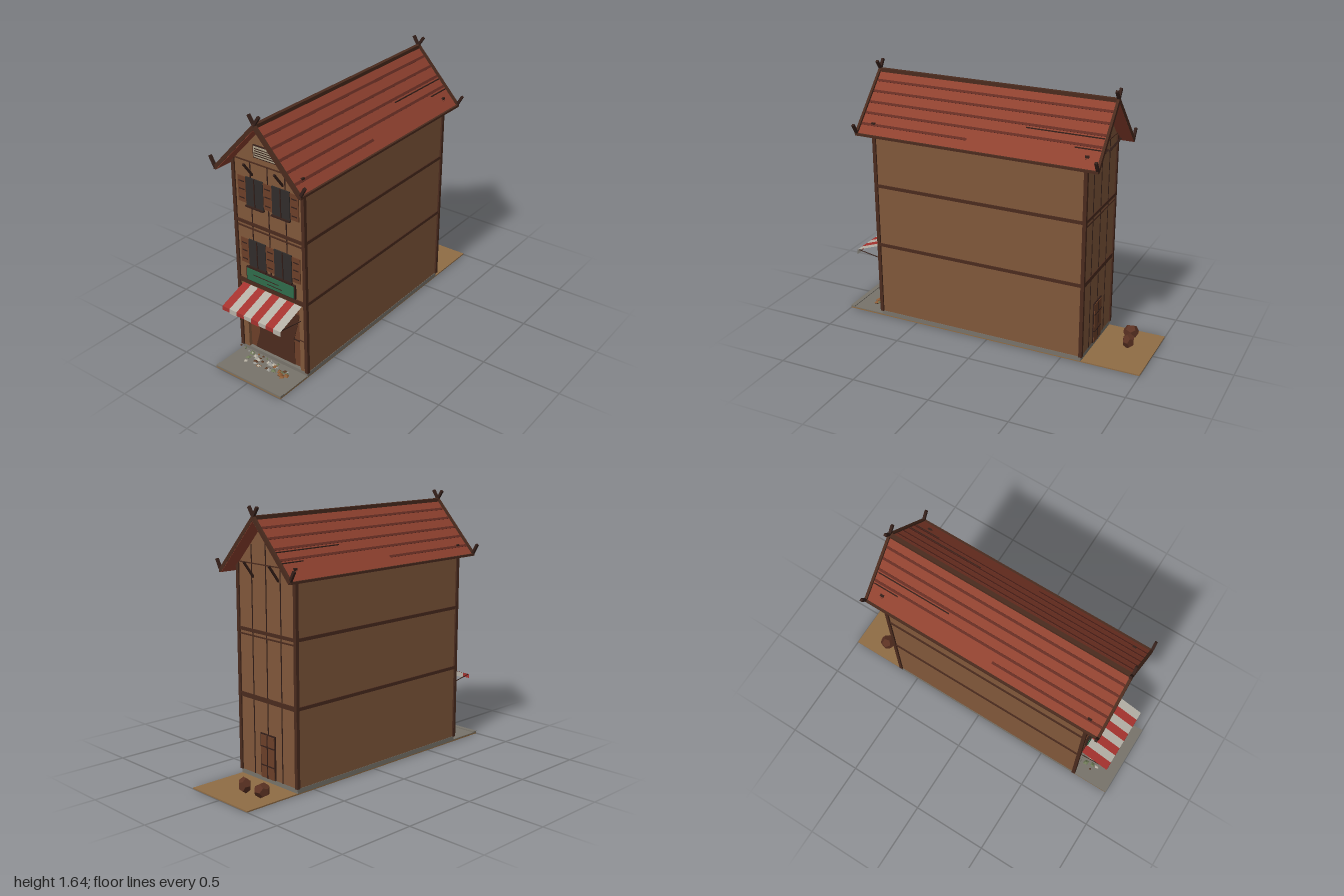
import * as THREE from 'three';

const mat = (color, side = THREE.FrontSide) =>
  new THREE.MeshStandardMaterial({ color, side, flatShading: true });
const M = {
  wall: mat(0x80573a), timber: mat(0x4a2b1e), dark: mat(0x35201a), roof: mat(0x8f412f),
  shingle: mat(0x632c22), shutter: mat(0x6b3f28), glass: mat(0x302c2a), stone: mat(0x77736a),
  earth: mat(0x8f6c45), green: mat(0x2f6b4a), vent: mat(0xa89c84), rock: mat(0x5a3122),
  red: mat(0xa5322e, THREE.DoubleSide), white: mat(0xb5b0a6, THREE.DoubleSide), door: mat(0x4b2b1d),
};
const FRONT = 0.755, BACK = -0.63, RF = 0.85, RB = -0.72; // wall and roof ends
const APEX = 1.58, EAVE = 1.25, EX = 0.305;

export function createModel() {
  const root = new THREE.Group();
  let seed = 7;
  const rnd = () => (seed = (seed * 16807) % 2147483647) / 2147483647;

  const add = (name, geo, m, parent = root) => {
    const mesh = new THREE.Mesh(geo, m);
    mesh.name = name;
    parent.add(mesh);
    return mesh;
  };
  // Box given by its limits
  const box = (name, x0, x1, y0, y1, z0, z1, m, parent) => {
    const b = add(name, new THREE.BoxGeometry(x1 - x0, y1 - y0, z1 - z0), m, parent);
    b.position.set((x0 + x1) / 2, (y0 + y1) / 2, (z0 + z1) / 2);
    return b;
  };
  // Square bar between two points
  const bar = (name, a, b, w, h, m, parent) => {
    const p = new THREE.Vector3(...a), q = new THREE.Vector3(...b);
    const mesh = add(name, new THREE.BoxGeometry(w, h, p.distanceTo(q)), m, parent);
    mesh.position.copy(p).add(q).multiplyScalar(0.5);
    mesh.lookAt(q);
    return mesh;
  };
  const extrude = (name, pts, z0, z1, m) => {
    const shape = new THREE.Shape(pts.map(p => new THREE.Vector2(...p)));
    const g = new THREE.ExtrudeGeometry(shape, { depth: z1 - z0, bevelEnabled: false });
    return add(name, g.translate(0, 0, z0), m);
  };

  // Ground and foundation
  box('ground', -0.25, 0.25, 0, 0.008, -1, 1, M.earth);
  box('pavement', -0.25, 0.25, 0.008, 0.013, 0.7, 1, M.stone);
  box('curb', -0.25, 0.25, 0.008, 0.018, 0.97, 1, M.stone);
  box('foundation', -0.252, 0.252, 0.008, 0.036, BACK, FRONT, M.stone);

  // House body, then a front wall layer with the shop opening
  const gable = [[0.25, 1.3], [0, 1.562], [-0.25, 1.3], [-0.25, 0.036]];
  extrude('houseBody', [[0.25, 0.036], ...gable], BACK, FRONT - 0.025, M.wall);
  extrude('frontWall', [[0.25, 0.036], ...gable, [-0.2, 0.036], [-0.2, 0.47], [0.2, 0.47], [0.2, 0.036]],
    FRONT - 0.025, FRONT, M.wall);
  box('shopBackWall', -0.2, 0.2, 0.036, 0.47, FRONT - 0.026, FRONT - 0.023, M.shutter);
  extrude('shopDoorway', [[-0.165, 0.036], [0.14, 0.036], [0.14, 0.22], [0.185, 0.4], [-0.13, 0.4], [-0.13, 0.15]],
    FRONT - 0.023, FRONT - 0.02, M.door);
  for (const s of [-1, 1]) {
    bar('shopRail', [s * 0.135, 0.22, FRONT - 0.02], [s * 0.2, 0.22, FRONT - 0.02], 0.006, 0.006, M.dark);
    bar('wallRail', [s * 0.2, 0.25, FRONT], [s * 0.245, 0.25, FRONT], 0.006, 0.006, M.timber);
  }

  // Corner posts and side beams
  for (const s of [-1, 1]) {
    for (const z of [FRONT - 0.002, BACK + 0.002])
      box('cornerPost', s * 0.249 - 0.011, s * 0.249 + 0.011, 0.036, 1.3, z - 0.011, z + 0.011, M.timber);
    for (const y of [0.51, 0.91])
      box('sideBeam', s * 0.25 - 0.007, s * 0.25 + 0.007, y - 0.01, y + 0.01, BACK, FRONT, M.timber);
  }

  // Beams, plank joints and roof brackets on both end walls
  for (const [z, d] of [[FRONT, 1], [BACK, -1]]) {
    for (const [y, h] of [[0.51, 0.028], [0.91, 0.02], [0.88, 0.008], [1.305, 0.006]])
      box('endBeam', -0.25, 0.25, y - h / 2, y + h / 2, z - 0.007, z + 0.007, M.timber);
    for (const x of [-0.125, 0, 0.125]) {
      const y0 = d > 0 ? 0.5 : 0.036, y1 = d > 0 ? 1.3 : 1.54 - Math.abs(x);
      box('plankJoint', x - 0.003, x + 0.003, y0, y1, z - 0.003, z + 0.003, M.dark);
    }
    for (const x of [-0.11, 0.11])
      bar('roofBracket', [x, 1.225, z], [x, 1.32, z + d * 0.07], 0.01, 0.012, M.dark);
  }

  // Windows with shutters, two floors
  const windows = new THREE.Group();
  windows.name = 'windows';
  root.add(windows);
  for (const y of [0.62, 1.02]) {
    for (const s of [-1, 1]) {
      const x = s * 0.095;
      box('windowPane', x - 0.063, x + 0.063, y + 0.005, y + 0.185, FRONT, FRONT + 0.008, M.glass, windows);
      box('windowMullion', x - 0.003, x + 0.003, y + 0.005, y + 0.185, FRONT, FRONT + 0.012, M.dark, windows);
      box('windowSill', x - 0.066, x + 0.066, y, y + 0.009, FRONT, FRONT + 0.018, M.dark, windows);
    }
    for (const [x, w] of [[-0.19, 0.029], [0, 0.031], [0.19, 0.029]]) {
      box('shutter', x - w, x + w, y + 0.018, y + 0.18, FRONT, FRONT + 0.006, M.shutter, windows);
      for (const dy of [0.045, 0.1, 0.15])
        box('shutterBatten', x - w * 0.65, x + w * 0.65, y + dy - 0.003, y + dy + 0.003, FRONT, FRONT + 0.009, M.dark, windows);
    }
  }

  // Attic vent
  box('atticVent', -0.092, 0.092, 1.343, 1.42, FRONT, FRONT + 0.008, M.dark);
  box('ventPanel', -0.086, 0.086, 1.349, 1.414, FRONT, FRONT + 0.01, M.vent);
  for (let i = 0; i < 4; i++)
    box('ventSlat', -0.078, 0.06 + 0.015 * (i % 2), 1.36 + i * 0.013, 1.364 + i * 0.013, FRONT, FRONT + 0.013, M.dark);

  // Blank sign board
  box('signFrame', -0.183, 0.183, 0.527, 0.618, FRONT, FRONT + 0.012, M.dark);
  box('signPanel', -0.175, 0.175, 0.534, 0.611, FRONT, FRONT + 0.016, M.green);
  box('signGroove', -0.125, 0.065, 0.578, 0.582, FRONT, FRONT + 0.018, M.dark);
  box('signGroove', -0.02, 0.09, 0.554, 0.558, FRONT, FRONT + 0.018, M.dark);

  // Striped awning with hanging edge and stays
  const awning = new THREE.Group();
  awning.name = 'awning';
  root.add(awning);
  const w = 0.44 / 8, run = Math.hypot(0.19, 0.068);
  for (let i = 0; i < 8; i++) {
    const x = -0.22 + (i + 0.5) * w, m = i % 2 ? M.white : M.red;
    const top = add('awningStripe', new THREE.PlaneGeometry(w, run).rotateX(-Math.PI / 2), m, awning);
    top.position.set(x, 0.454, FRONT + 0.095);
    top.rotation.x = Math.atan2(0.068, 0.19);
    const drop = 0.026 + 0.006 * (i % 3 === 1);
    const edge = add('awningEdge', new THREE.PlaneGeometry(w, drop), m, awning);
    edge.position.set(x, 0.42 - drop / 2, FRONT + 0.19);
  }
  for (const s of [-1, 1])
    bar('awningStay', [s * 0.21, 0.385, FRONT], [s * 0.21, 0.418, FRONT + 0.188], 0.004, 0.004, M.dark, awning);

  // Roof
  extrude('roof', [[0, APEX], [-EX, EAVE], [-EX + 0.013, EAVE - 0.007], [0, APEX - 0.022],
    [EX - 0.013, EAVE - 0.007], [EX, EAVE]], RB, RF, M.roof);
  box('ridgeBeam', -0.012, 0.012, APEX - 0.012, APEX + 0.01, RB, RF, M.timber);
  const tilt = Math.atan2(APEX - EAVE, EX);
  const rows = [[1.525, RB, RF], [1.47, RB, RF], [1.415, RB, RF], [1.36, RB, RF], [1.305, 0.12, RF]];
  for (const s of [-1, 1]) {
    const slopeX = y => s * EX * (APEX - y) / (APEX - EAVE);
    box('eaveTrim', s * EX - 0.008, s * EX + 0.008, EAVE - 0.008, EAVE + 0.006, RB, RF, M.timber);
    rows.forEach(([y, z0, z1]) => {
      const r = box('shingleRow', -0.008, 0.008, -0.002, 0.002, z0, z1, M.shingle);
      r.position.x = slopeX(y);
      r.position.y = y;
      r.rotation.z = -s * tilt;
    });
    for (const [y, z0, z1] of [[1.4, -0.7, -0.22], [1.345, -0.7, -0.54]])
      bar('shingleCrack', [slopeX(y), y, z0], [slopeX(y), y, z1], 0.006, 0.006, M.dark);
    for (const z of [FRONT, BACK])
      box('roofPeg', slopeX(1.31) - 0.006, slopeX(1.31) + 0.006, 1.303, 1.317, z - 0.012, z + 0.012, M.dark);
    // Bargeboards crossing at the peak, with upturned tips
    for (const z of [RF - 0.006, RB + 0.006]) {
      bar('bargeboard', [s * EX, EAVE, z], [-s * 0.006, APEX + 0.006, z], 0.016, 0.024, M.timber);
      bar('peakHorn', [s * 0.004, APEX, z], [-s * 0.036, 1.64, z], 0.016, 0.016, M.dark);
      bar('eaveHorn', [s * (EX - 0.005), EAVE, z], [s * 0.338, 1.317, z], 0.016, 0.016, M.dark);
    }
  }

  // Back door
  box('backDoorFrame', -0.066, 0.066, 0.036, 0.306, BACK - 0.006, BACK, M.dark);
  box('backDoor', -0.058, 0.058, 0.036, 0.298, BACK - 0.01, BACK, M.shutter);
  for (const [x0, x1, y0, y1] of [[-0.003, 0.003, 0.036, 0.298], [-0.058, 0.058, 0.11, 0.117], [-0.058, 0.058, 0.225, 0.232]])
    box('backDoorBatten', x0, x1, y0, y1, BACK - 0.013, BACK, M.dark);

  // Boulders behind the house
  for (const [x, z, r, h] of [[-0.15, -0.81, 0.05, 0.9], [-0.025, -0.835, 0.04, 1.25]]) {
    const b = add('boulder', new THREE.DodecahedronGeometry(r, 0), M.rock);
    b.scale.set(1, h, 1);
    b.position.set(x, 0.008 + r * h * 0.95, z);
    b.rotation.y = x * 9;
  }

  // Loose wares and scraps by the shop front
  const wares = new THREE.Group();
  wares.name = 'wares';
  root.add(wares);
  const tones = [mat(0x9b9a94), mat(0x5a3a26), mat(0xb8b2a4), mat(0x6f7a58), mat(0x8a5a34)];
  for (let i = 0; i < 34; i++) {
    const r = 0.007 + rnd() * 0.009;
    const p = add('scrap', new THREE.OctahedronGeometry(r, 0), tones[i % 5], wares);
    p.scale.set(1.6, 0.9, 1.2);
    p.position.set(-0.19 + rnd() * 0.36, 0.018 + rnd() * 0.016, 0.79 + rnd() * 0.075);
    p.rotation.y = rnd() * 6;
  }
  for (let i = 0; i < 8; i++) {
    const p = add('smallWare', new THREE.OctahedronGeometry(0.008, 0), tones[(i * 2 + 1) % 5], wares);
    p.position.set(-0.19 + i * 0.035, 0.075 + rnd() * 0.022, 0.835 + rnd() * 0.02);
  }
  return root;
}
